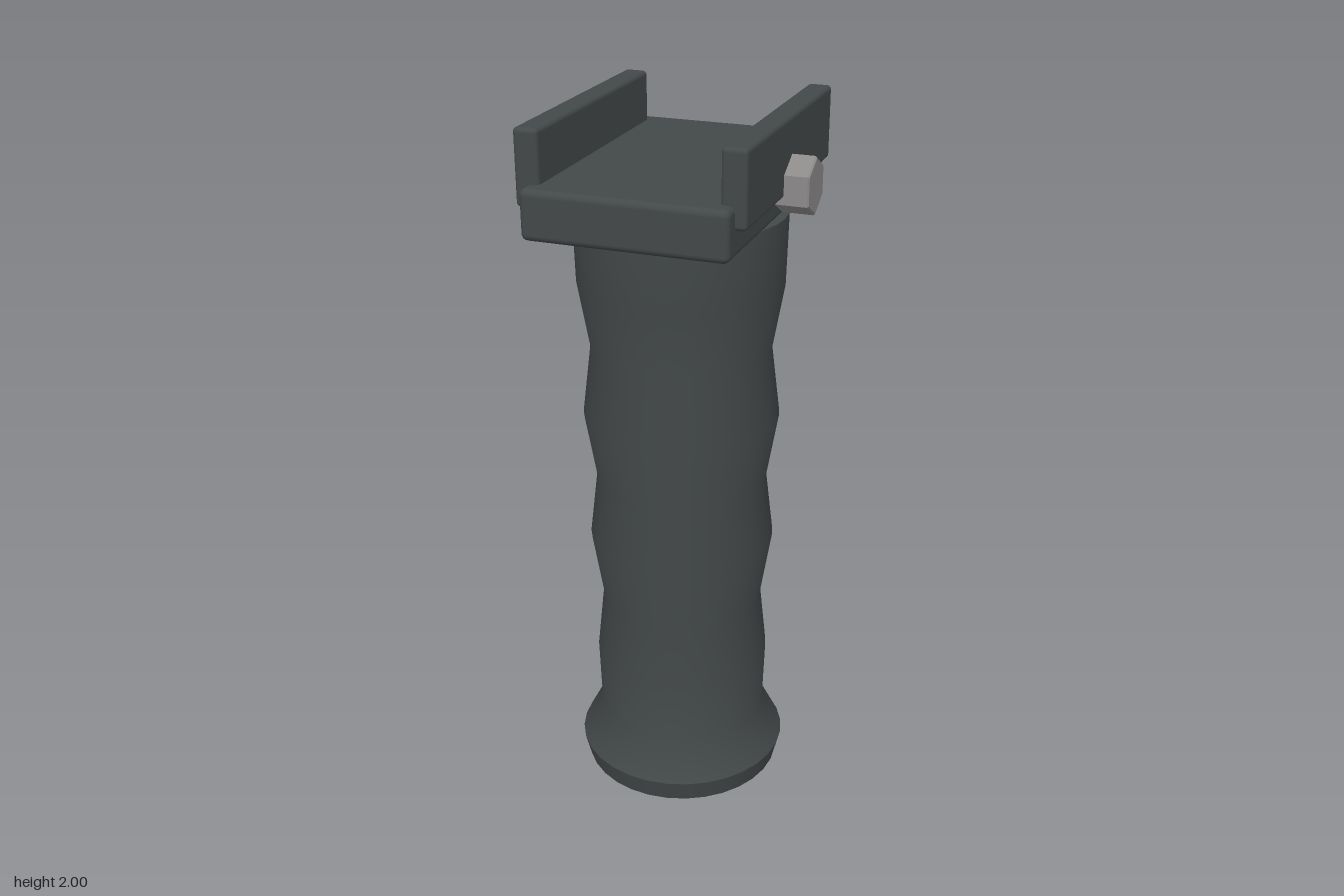
import * as THREE from 'three';
import { RoundedBoxGeometry } from 'three/addons/geometries/RoundedBoxGeometry.js';

export function createModel() {
  const group = new THREE.Group();
  const polymer = new THREE.MeshStandardMaterial({ color: 0x434848 });
  polymer.name = 'dark polymer';
  const steel = new THREE.MeshStandardMaterial({ color: 0x8c8989 });
  steel.name = 'grey steel';
  const axisX = -0.03;

  function add(name, geometry, material, x, y, z) {
    const mesh = new THREE.Mesh(geometry, material);
    mesh.name = name;
    mesh.position.set(x, y, z);
    group.add(mesh);
    return mesh;
  }

  // Turned parts share the grip axis; separate profiles keep hard edges sharp
  function turned(name, profile) {
    const points = profile.map(([r, y]) => new THREE.Vector2(r, y));
    return add(name, new THREE.LatheGeometry(points, 32), polymer, axisX, 0, 0);
  }

  // Handle with finger waves, flaring out at the bottom
  turned('grip', [
    [0.302, 0.10], [0.243, 0.215], [0.249, 0.40], [0.229, 0.59], [0.26, 0.785],
    [0.238, 0.97], [0.27, 1.16], [0.246, 1.355], [0.278, 1.54], [0.283, 1.735],
  ]);
  turned('gripTop', [[0.283, 1.735], [0, 1.735]]);

  // Flared foot and end cap
  turned('footRim', [[0.286, 0.035], [0.302, 0.10]]);
  turned('footUnderside', [[0, 0.035], [0.286, 0.035]]);
  turned('endCapSide', [[0.226, 0], [0.233, 0.007], [0.233, 0.035]]);
  turned('endCapBottom', [[0, 0], [0.226, 0]]);

  // Mounting plate with a clamping rail on each side
  add('mountPlate', new RoundedBoxGeometry(0.534, 0.13, 0.8, 3, 0.018), polymer, axisX, 1.8, 0);
  for (const [name, side] of [['leftRail', 1], ['rightRail', -1]]) {
    add(name, new RoundedBoxGeometry(0.065, 0.195, 0.71, 3, 0.012), polymer,
      axisX + side * 0.263, 1.9025, 0);
  }

  // Hexagonal clamp bolt, corner upwards, pointing to +x
  const hex = new THREE.Shape();
  for (let i = 0; i < 6; i++) {
    const a = Math.PI / 2 + (i * Math.PI) / 3;
    const [x, y] = [0.071 * Math.cos(a), 0.071 * Math.sin(a)];
    if (i === 0) hex.moveTo(x, y);
    else hex.lineTo(x, y);
  }
  hex.closePath();
  const boltGeometry = new THREE.ExtrudeGeometry(hex, {
    depth: 0.082, bevelEnabled: true, bevelThickness: 0.004, bevelSize: 0.004, bevelSegments: 1,
  });
  const bolt = add('clampBolt', boltGeometry, steel, 0.244, 1.827, 0);
  bolt.rotation.y = Math.PI / 2;

  return group;
}
